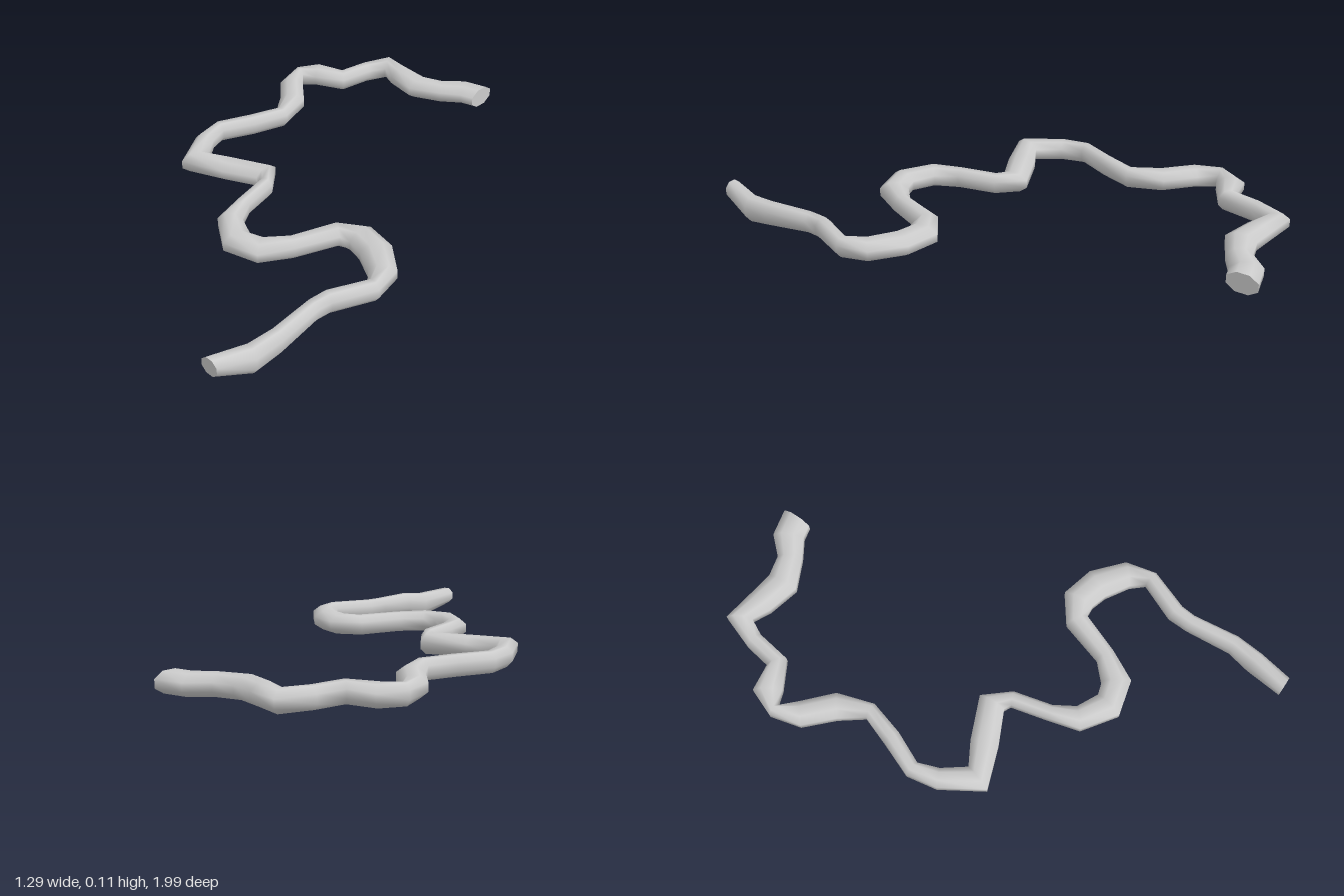
import * as THREE from 'three';

// Path stations along the ground: x, z, width of the section
const PATH = [
  [0.05, -0.94, 0.12], [-0.03, -0.92, 0.12], [-0.10, -0.86, 0.095], [-0.20, -0.82, 0.12],
  [-0.31, -0.84, 0.105], [-0.41, -0.865, 0.10], [-0.45, -0.765, 0.065], [-0.47, -0.64, 0.075],
  [-0.58, -0.60, 0.11], [-0.63, -0.535, 0.045], [-0.585, -0.445, 0.095], [-0.485, -0.35, 0.10],
  [-0.43, -0.235, 0.06], [-0.47, -0.11, 0.065], [-0.525, 0.02, 0.06], [-0.50, 0.12, 0.075],
  [-0.42, 0.24, 0.11], [-0.295, 0.185, 0.105], [-0.15, 0.12, 0.105], [-0.095, 0.175, 0.055],
  [-0.06, 0.32, 0.055], [-0.02, 0.42, 0.09], [0.085, 0.485, 0.11], [0.18, 0.46, 0.11],
  [0.245, 0.37, 0.07], [0.305, 0.205, 0.085], [0.38, 0.165, 0.12], [0.475, 0.19, 0.12],
  [0.575, 0.265, 0.10], [0.61, 0.35, 0.06], [0.545, 0.50, 0.065], [0.54, 0.57, 0.06],
  [0.56, 0.75, 0.065], [0.55, 0.85, 0.075], [0.515, 0.99, 0.07],
];
const SIDES = 8;

// Height range of the section: level, then dipping at the front tip
function heights(i) {
  const fromEnd = PATH.length - 1 - i;
  if (fromEnd === 0) return [0.05, 0.113];
  if (fromEnd === 1) return [0.0, 0.1];
  if (fromEnd === 2) return [0.02, 0.11];
  return [0.035, 0.112];
}

// Eight-sided section with a flat top, set across the path
function ring(i) {
  const [x, z, width] = PATH[i];
  const a = PATH[Math.max(i - 1, 0)];
  const b = PATH[Math.min(i + 1, PATH.length - 1)];
  const dir = new THREE.Vector2(b[0] - a[0], b[1] - a[1]).normalize();
  if (i === 0) dir.set(-1, 0);
  if (i === PATH.length - 1) dir.set(0, 1);
  const [low, high] = heights(i);
  const fit = 1 / Math.cos(Math.PI / SIDES);
  const points = [];
  for (let k = 0; k < SIDES; k++) {
    const t = ((k + 0.5) / SIDES) * Math.PI * 2;
    const side = Math.cos(t) * fit * width / 2;
    const y = (low + high) / 2 + Math.sin(t) * fit * (high - low) / 2;
    points.push(new THREE.Vector3(x - dir.y * side, y, z + dir.x * side));
  }
  return points;
}

function build(points, index, material, name) {
  const geometry = new THREE.BufferGeometry().setFromPoints(points);
  geometry.setIndex(index);
  geometry.computeVertexNormals();
  const mesh = new THREE.Mesh(geometry, material);
  mesh.name = name;
  return mesh;
}

export function createModel() {
  const group = new THREE.Group();
  group.name = 'windingTube';
  const material = new THREE.MeshStandardMaterial({ color: 0xcccccc, side: THREE.DoubleSide });
  const rings = PATH.map((_, i) => ring(i));

  // Winding body
  const index = [];
  for (let i = 0; i < rings.length - 1; i++) {
    for (let k = 0; k < SIDES; k++) {
      const n = (k + 1) % SIDES;
      const a = i * SIDES + k, b = i * SIDES + n;
      const c = a + SIDES, d = b + SIDES;
      index.push(a, b, c, b, d, c);
    }
  }
  group.add(build(rings.flat(), index, material, 'body'));

  // Flat end caps
  const fan = [];
  for (let k = 1; k < SIDES - 1; k++) fan.push(0, k, k + 1);
  group.add(build(rings[0], [...fan].reverse(), material, 'backCap'));
  group.add(build(rings[rings.length - 1], fan, material, 'frontCap'));
  return group;
}
